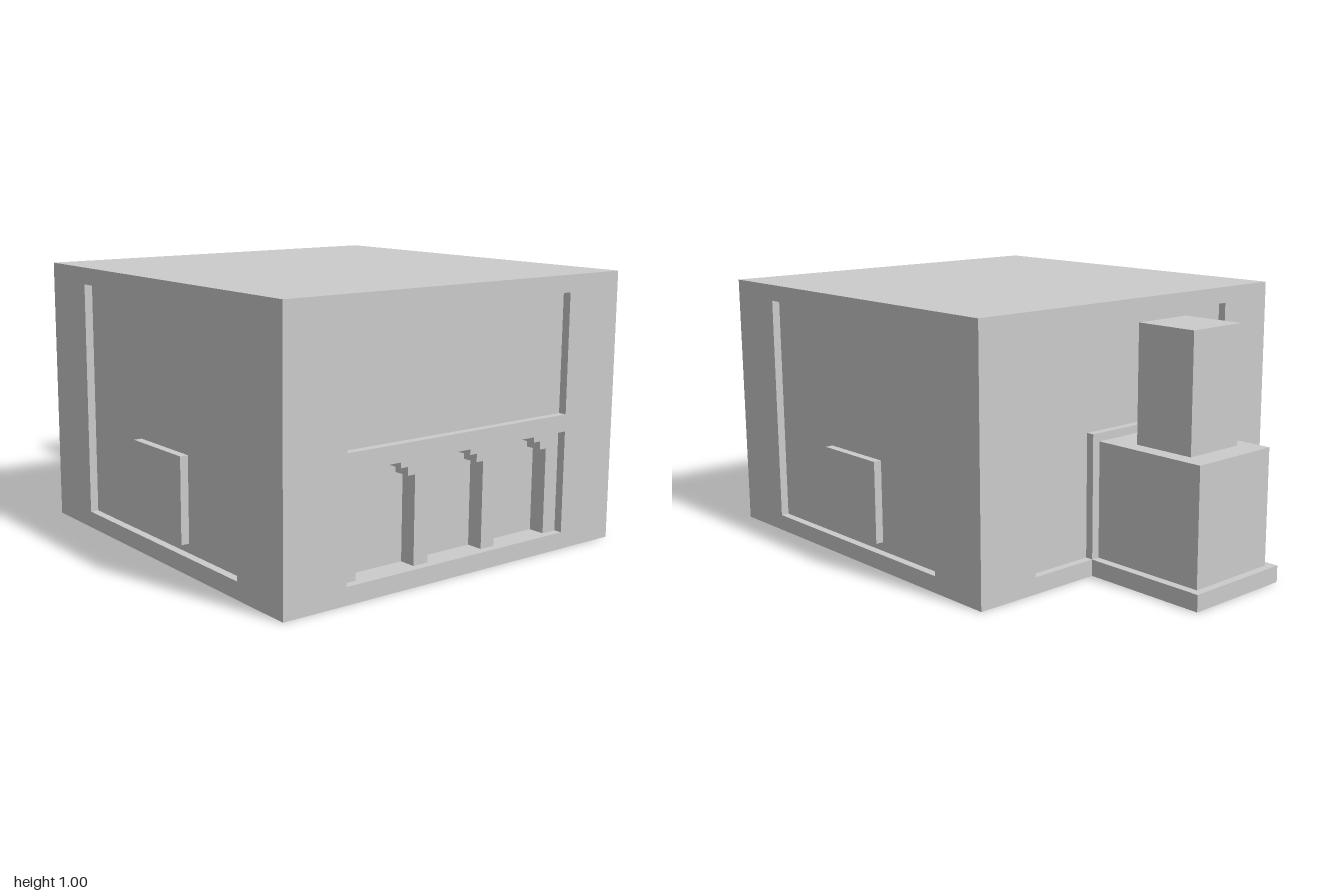
import * as THREE from 'three';

const T = 0.031; // depth of the recessed panels

export function createModel() {
  const house = new THREE.Group();
  house.name = 'house';
  const material = new THREE.MeshStandardMaterial({ color: 0xcccccc, flatShading: true });

  const add = (name, geometry) => {
    const mesh = new THREE.Mesh(geometry, material);
    mesh.name = name;
    house.add(mesh);
    return mesh;
  };
  // Box given by its minimum and maximum on each axis
  const box = (name, x0, x1, y0, y1, z0, z1) =>
    add(name, new THREE.BoxGeometry(x1 - x0, y1 - y0, z1 - z0)
      .translate((x0 + x1) / 2, (y0 + y1) / 2, (z0 + z1) / 2));
  const points = (list) => list.map(([x, y]) => new THREE.Vector2(x, y));
  const rect = (x0, x1, y0, y1) => points([[x0, y0], [x1, y0], [x1, y1], [x0, y1]]);
  // Upright plate with openings, extruded towards +z
  const plate = (outline, holes, depth) => {
    const shape = new THREE.Shape(outline);
    holes.forEach((hole) => shape.holes.push(new THREE.Path(hole)));
    return new THREE.ExtrudeGeometry(shape, { depth, bevelEnabled: false });
  };

  // Solid core; its faces are the backs of the recesses
  const arcadeBack = 0.907;
  box('core', -0.75 + T, 0.75 - T, 0, 1, -0.5 + T, arcadeBack);

  // Front: arcade layer with three stepped arches, behind a frame with two openings
  const arch = (c) => {
    const half = [[0.125, 0.0625], [0.125, 0.378], [0.094, 0.378], [0.094, 0.408], [0.0625, 0.408], [0.0625, 0.4375]];
    const mirrored = half.map(([x, y]) => [-x, y]).reverse();
    return points([...half, ...mirrored].map(([x, y]) => [x + c, y]));
  };
  add('arcade', plate(rect(-0.75 + T, 0.75 - T, 0, 1), [-0.3125, 0, 0.3125].map(arch), 1 - T - arcadeBack))
    .position.z = arcadeBack;
  add('frontWall', plate(rect(-0.75, 0.75, 0, 1),
    [rect(-0.5, 0.5, 0.0625, 0.4375), rect(-0.5, 0.5, 0.5, 0.9375)], T)).position.z = 1 - T;

  // Back wall with one large recess
  add('backWall', plate(rect(-0.75, 0.75, 0, 1), [rect(-0.5, 0.5, 0.0625, 0.9375)], T)).position.z = -0.5;

  // Side walls, each with a recess and a raised square panel
  for (const [side, s] of [['left', 1], ['right', -1]]) {
    const wall = plate(rect(-1 + T, 0.5 - T, 0, 1), [rect(-0.75, 0.25, 0.0625, 0.9375)], T);
    wall.rotateY(Math.PI / 2); // outline x becomes -z, depth becomes +x
    wall.translate(s > 0 ? 0.75 - T : -0.75, 0, 0);
    add(side + 'Wall', wall);
    const inner = s * (0.75 - T), outer = s * 0.75;
    box(side + 'SquarePanel', Math.min(inner, outer), Math.max(inner, outer), 0.097, 0.41, 0.097, 0.41);
  }

  // Chimney at the back
  box('chimneySurround', -0.22, 0.22, 0.0625, 0.531, -0.5, -0.5 + T);
  box('chimneyBase', -0.22, 0.22, 0, 0.0625, -1, -0.5);
  box('chimneyBody', -0.1875, 0.1875, 0.0625, 0.5, -0.969, -0.5);
  box('chimneyStack', -0.125, 0.125, 0.5, 0.9375, -0.875, -0.625);

  return house;
}
